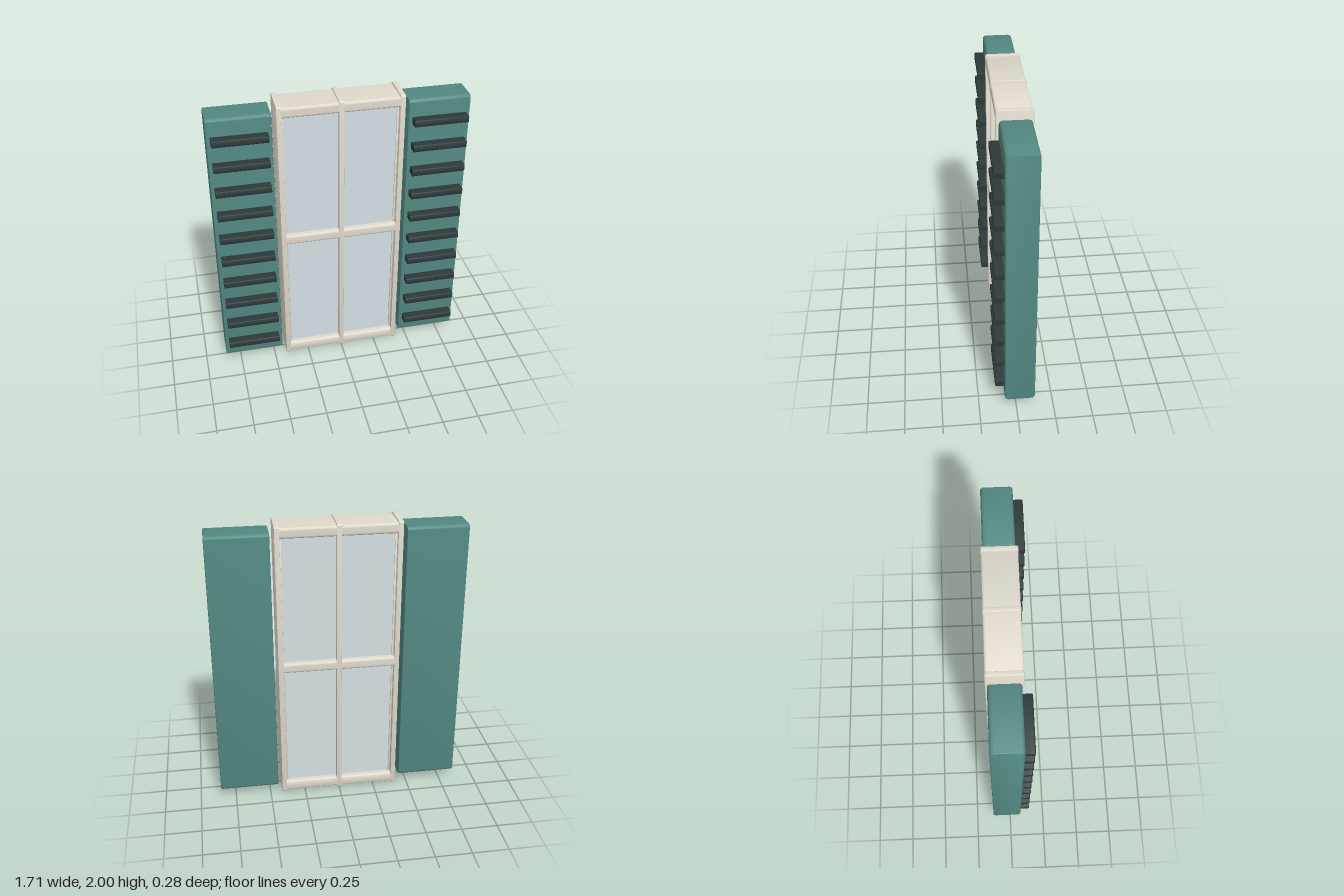
import * as THREE from 'three';
import { toCreasedNormals } from 'three/addons/utils/BufferGeometryUtils.js';

export function createModel() {
  const model = new THREE.Group();
  model.name = 'shutteredWindow';

  const material = (name, color) => {
    const m = new THREE.MeshStandardMaterial({ color });
    m.name = name;
    return m;
  };
  const cream = material('creamFrame', 0xe2dccf);
  const teal = material('tealShutter', 0x538982);
  const dark = material('darkSlat', 0x2d3a3a);
  const pane = material('paleGlass', 0xd4dfe3);

  // Bar with a rounded side profile (radius r), run along x with a fine bevel at both ends
  const bar = (name, mat, [x0, x1], [y0, y1], [z0, z1], r, parent, bevel = 0.004) => {
    const w = (z1 - z0) / 2, h = (y1 - y0) / 2;
    const s = new THREE.Shape();
    s.absarc(w - r, h - r, r, 0, Math.PI / 2);
    s.absarc(r - w, h - r, r, Math.PI / 2, Math.PI);
    s.absarc(r - w, r - h, r, Math.PI, Math.PI * 1.5);
    s.absarc(w - r, r - h, r, Math.PI * 1.5, Math.PI * 2);
    const geometry = new THREE.ExtrudeGeometry(s, {
      depth: x1 - x0 - 2 * bevel, curveSegments: 5,
      bevelThickness: bevel, bevelSize: bevel, bevelOffset: -bevel, bevelSegments: 2,
    });
    geometry.center();
    geometry.rotateY(Math.PI / 2);
    const mesh = new THREE.Mesh(toCreasedNormals(geometry, 0.6), mat);
    mesh.position.set((x0 + x1) / 2, (y0 + y1) / 2, (z0 + z1) / 2);
    mesh.name = name;
    parent.add(mesh);
  };
  // Limits along x, mirrored for the right side
  const span = (side, a, b) => (side < 0 ? [-b, -a] : [a, b]);

  // Frame uprights, standing slightly proud of the rails
  const frame = new THREE.Group();
  frame.name = 'windowFrame';
  model.add(frame);
  const depth = [-0.14, 0.092];
  bar('mullion', cream, [-0.017, 0.017], [0, 2], depth, 0.014, frame);
  for (const side of [-1, 1]) {
    const hand = side < 0 ? 'right' : 'left';
    bar(hand + 'Jamb', cream, span(side, 0.381, 0.415), [0, 2], depth, 0.014, frame);
    // Inner stop that holds the glass
    bar(hand + 'Stop', cream, span(side, 0.369, 0.39), [0.03, 1.97], [-0.105, 0.057], 0.004, frame, 0.002);
  }

  // Cross rails
  const rails = { bottomRail: [0.012, 0.085], middleRail: [0.968, 1.036], topRail: [1.918, 1.988] };
  for (const [name, height] of Object.entries(rails)) {
    bar(name, cream, [-0.4, 0.4], height, [-0.138, 0.09], 0.015, frame);
  }

  // Thick glass sheet, a little behind the bars on both faces
  const glass = new THREE.Mesh(new THREE.BoxGeometry(0.75, 1.88, 0.145), pane);
  glass.name = 'glass';
  glass.position.set(0, 1, -0.024);
  model.add(glass);

  // Shutters with ten slats each
  for (const side of [-1, 1]) {
    const shutter = new THREE.Group();
    shutter.name = side < 0 ? 'rightShutter' : 'leftShutter';
    model.add(shutter);
    bar('shutterPanel', teal, span(side, 0.442, 0.855), [0.053, 1.953], [-0.127, 0.076], 0.025, shutter, 0.008);
    for (let i = 0; i < 10; i++) {
      const y = 0.185 + i * 0.1807;
      bar('slat', dark, span(side, 0.468, 0.83), [y - 0.023, y + 0.023], [0.066, 0.14], 0.009, shutter, 0.003);
    }
  }
  return model;
}
